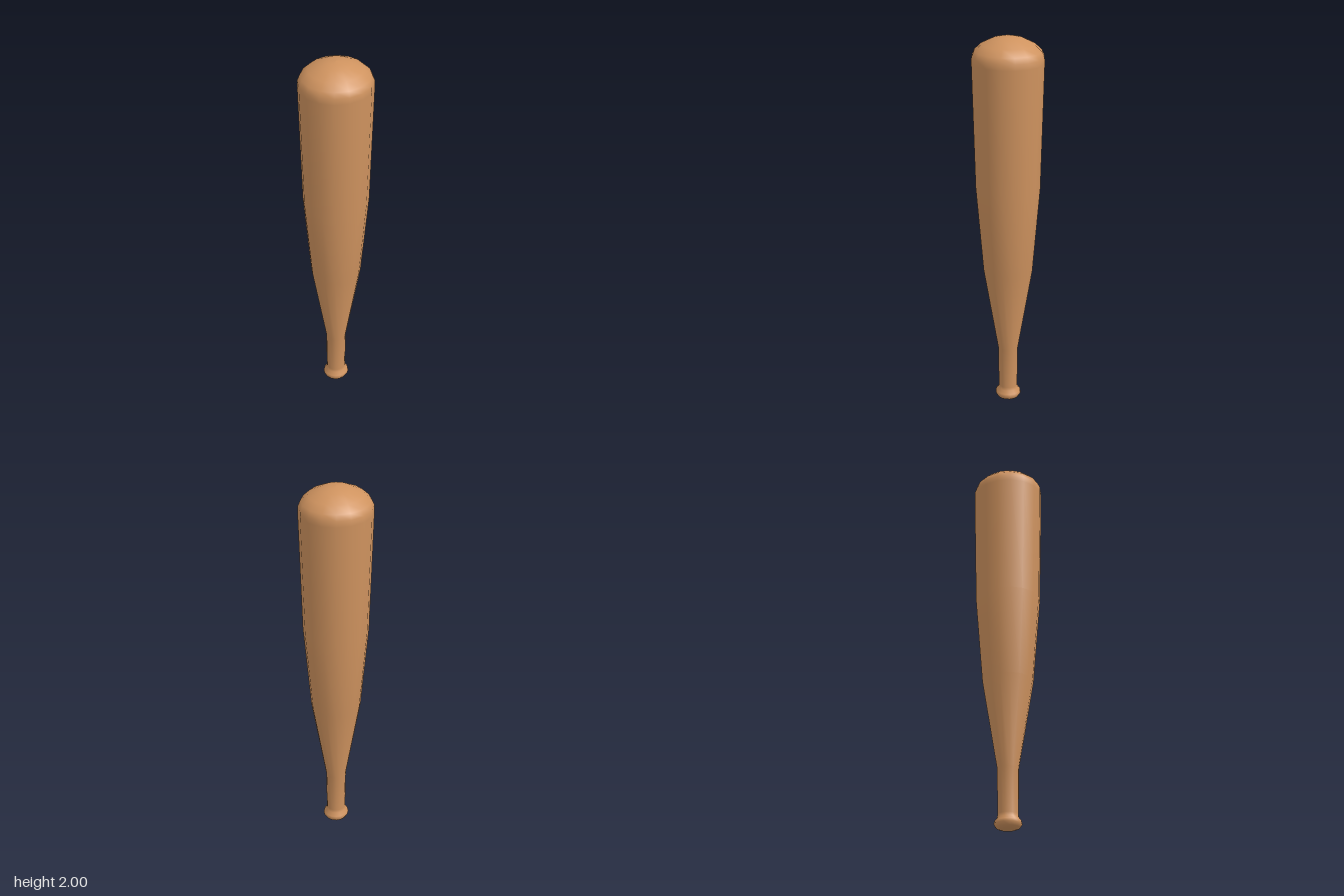
import * as THREE from 'three';

const SIDES = 16;

// Turned part from [radius, height] pairs, listed bottom to top
function turned(name, profile, material) {
  const points = profile.map(([r, y]) => new THREE.Vector2(r, y));
  const mesh = new THREE.Mesh(new THREE.LatheGeometry(points, SIDES), material);
  mesh.name = name;
  return mesh;
}

export function createModel() {
  const model = new THREE.Group();
  model.name = 'baseballBat';

  const wood = new THREE.MeshStandardMaterial({ color: 0xcf935f });
  wood.name = 'wood';

  // Whole bat turned from one piece, so the shading flows along its length
  const bat = turned('bat', [
    // knob
    [0, 0], [0.035, 0.004], [0.058, 0.013], [0.068, 0.03], [0.065, 0.045], [0.052, 0.062],
    // handle
    [0.05, 0.08], [0.053, 0.31],
    // taper and barrel
    [0.128, 0.77], [0.165, 1.23], [0.18, 1.87],
    // rounded end
    [0.179, 1.9], [0.167, 1.928], [0.133, 1.96], [0.075, 1.988], [0.035, 1.997], [0, 2],
  ], wood);

  // Slightly oval section, deeper than wide
  bat.scale.z = 1.035;
  model.add(bat);

  return model;
}
